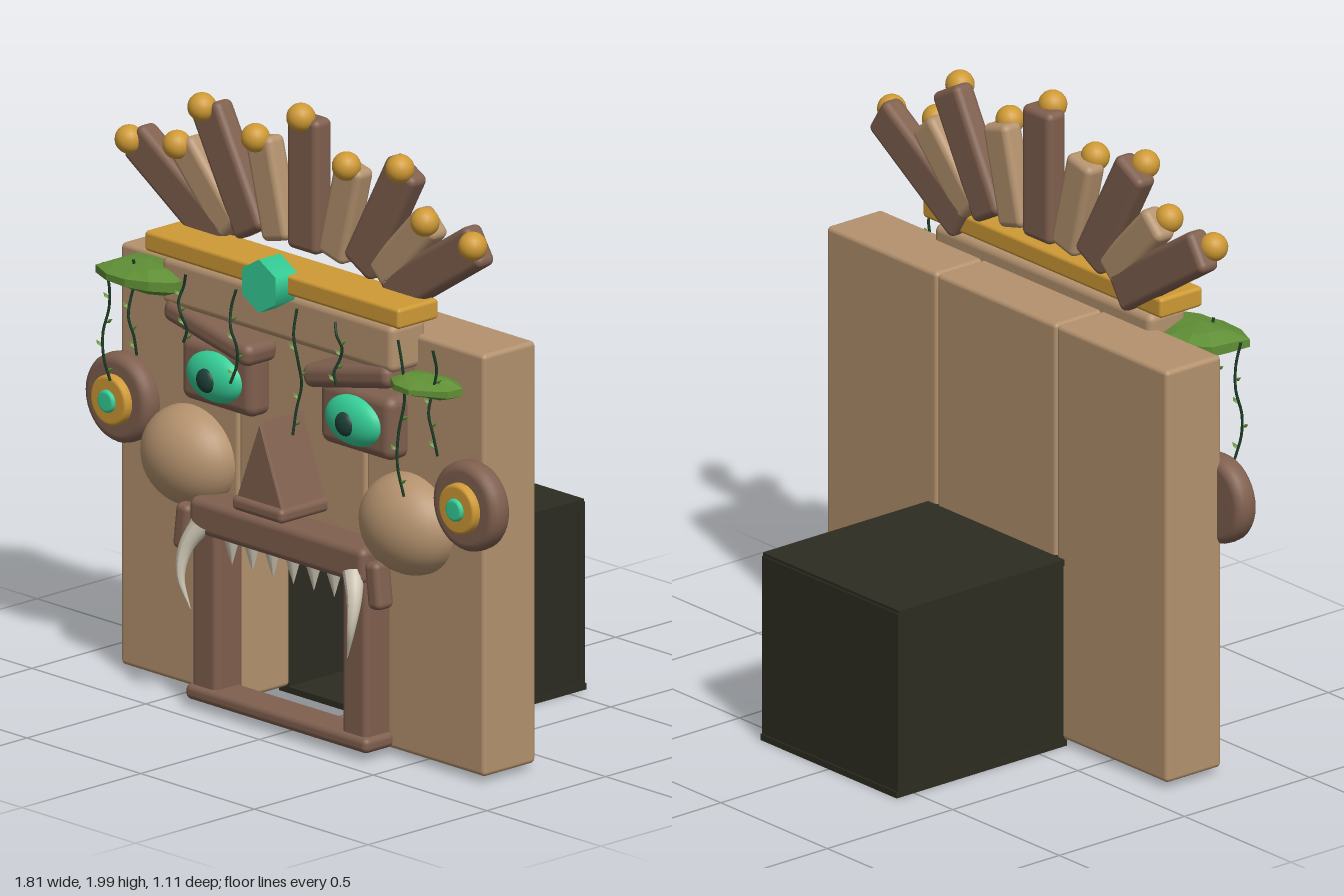
import * as THREE from 'three';
import { RoundedBoxGeometry } from 'three/addons/geometries/RoundedBoxGeometry.js';

const mat = (name, color, extra = {}) => {
  const m = new THREE.MeshStandardMaterial({ color, ...extra });
  m.name = name;
  return m;
};

export function createModel() {
  const root = new THREE.Group();
  root.name = 'maskGateway';
  const M = {
    stone: mat('tanStone', 0xb4926e),
    wood: mat('darkWood', 0x80604f),
    gold: mat('gold', 0xcf9a35),
    jade: mat('jade', 0x35cf98),
    pupil: mat('pupil', 0x1d4038),
    dark: mat('tunnelDark', 0x2c2c22),
    moss: mat('moss', 0x608f36, { flatShading: true, side: THREE.DoubleSide }),
    vine: mat('vine', 0x1c3c26),
    bone: mat('bone', 0xd2cab8),
  };

  const add = (name, geo, material, x = 0, y = 0, z = 0, rz = 0, parent = root) => {
    const mesh = new THREE.Mesh(geo, material);
    mesh.name = name;
    mesh.position.set(x, y, z);
    mesh.rotation.z = rz;
    parent.add(mesh);
    return mesh;
  };
  // Rounded block given by its limits on each axis
  const block = (name, material, [x0, x1], [y0, y1], [z0, z1], r = 0.015) =>
    add(name, new RoundedBoxGeometry(x1 - x0, y1 - y0, z1 - z0, 3, r), material,
      (x0 + x1) / 2, (y0 + y1) / 2, (z0 + z1) / 2);
  const plainBox = (name, material, [x0, x1], [y0, y1], [z0, z1]) =>
    add(name, new THREE.BoxGeometry(x1 - x0, y1 - y0, z1 - z0), material,
      (x0 + x1) / 2, (y0 + y1) / 2, (z0 + z1) / 2);
  const ellipsoid = (rx, ry, rz) => new THREE.SphereGeometry(1, 32, 20).scale(rx, ry, rz);
  // Rounded disc facing forward, built as a lathe
  const disc = (r, depth, b) => {
    const pts = [new THREE.Vector2(0, -depth / 2)];
    for (let i = 0; i <= 8; i++) {
      const a = -Math.PI / 2 + (i / 8) * Math.PI;
      pts.push(new THREE.Vector2(r - b + b * Math.cos(a), Math.sign(Math.sin(a)) * (depth / 2 - b) + b * Math.sin(a)));
    }
    pts.push(new THREE.Vector2(0, depth / 2));
    return new THREE.LatheGeometry(pts, 36).rotateX(Math.PI / 2);
  };

  // Wall slabs around the doorway
  block('wallLeft', M.stone, [0.28, 0.8], [0.03, 1.375], [0.1, 0.32]);
  block('wallRight', M.stone, [-0.8, -0.28], [0.03, 1.375], [0.1, 0.32]);
  block('wallCentre', M.stone, [-0.28, 0.28], [0.6, 1.375], [0.1, 0.32]);

  // Tunnel behind the doorway
  plainBox('tunnelFloor', M.dark, [-0.32, 0.32], [0.01, 0.03], [-0.57, 0.11]);
  plainBox('tunnelCeiling', M.dark, [-0.32, 0.32], [0.6, 0.62], [-0.56, 0.11]);
  plainBox('tunnelBack', M.dark, [-0.319, 0.319], [0.02, 0.61], [-0.565, -0.54]);
  for (const s of [-1, 1])
    plainBox('tunnelSide', M.dark, s < 0 ? [-0.316, -0.28] : [0.28, 0.316], [0.025, 0.605], [-0.56, 0.108]);

  // Mouth frame
  block('mouthLintel', M.wood, [-0.385, 0.385], [0.57, 0.685], [0.3, 0.435], 0.025);
  block('mouthSill', M.wood, [-0.4, 0.4], [0.035, 0.085], [0.31, 0.435], 0.02);
  for (const s of [-1, 1])
    block('mouthJamb', M.wood, s < 0 ? [-0.385, -0.275] : [0.275, 0.385], [0.06, 0.6], [0.3, 0.42], 0.02);
  for (let i = 0; i < 6; i++) {
    const x = -0.225 + i * 0.09;
    add('tooth', new THREE.ConeGeometry(0.025, 0.085, 10).rotateX(Math.PI), M.bone, x, 0.535, 0.4);
  }

  // Headband with hexagonal gem
  block('browBand', M.stone, [-0.51, 0.51], [1.27, 1.425], [0.28, 0.43], 0.025);
  block('goldBand', M.gold, [-0.56, 0.56], [1.43, 1.495], [0.28, 0.45], 0.012);
  add('gem', new THREE.CylinderGeometry(0.085, 0.085, 0.09, 6).rotateX(Math.PI / 2), M.jade, 0, 1.455, 0.457);

  // Feather crown: [bottom x, bottom y, tip x, tip y]
  const feathers = [
    [0, 1.525, 0, 1.955], [0.12, 1.53, 0.2, 1.845], [0.235, 1.525, 0.435, 1.89],
    [0.325, 1.515, 0.545, 1.745], [0.365, 1.465, 0.755, 1.715],
  ];
  feathers.forEach(([x0, y0, x1, y1], i) => {
    for (const s of i ? [-1, 1] : [1]) {
      const len = Math.hypot(x1 - x0, y1 - y0);
      const tilt = -s * Math.atan2(x1 - x0, y1 - y0);
      add('crownFeather', new RoundedBoxGeometry(i % 2 ? 0.115 : 0.135, len, 0.075, 3, 0.022),
        i % 2 ? M.stone : M.wood, s * (x0 + x1) / 2, (y0 + y1) / 2, 0.29, tilt);
      add('featherBead', new THREE.SphereGeometry(0.045, 20, 14), M.gold, s * x1, y1, 0.325);
    }
  });

  // Nose: triangular prism with a nostril bar
  const tri = new THREE.Shape([[-0.1, 0.75], [0.1, 0.75], [0, 1.01]].map((p) => new THREE.Vector2(...p)));
  add('nose', new THREE.ExtrudeGeometry(tri, {
    depth: 0.18, bevelEnabled: true, bevelThickness: 0.008, bevelSize: 0.006, bevelSegments: 2,
  }), M.wood, 0, 0, 0.312);
  block('noseBase', M.wood, [-0.112, 0.112], [0.72, 0.767], [0.3, 0.515], 0.018);

  // Paired face parts
  for (const s of [-1, 1]) {
    const side = new THREE.Group();
    side.name = s > 0 ? 'leftFace' : 'rightFace';
    root.add(side);
    const put = (name, geo, material, x, y, z, rz = 0) => add(name, geo, material, s * x, y, z, s * rz, side);

    put('eyeSocket', new RoundedBoxGeometry(0.32, 0.205, 0.1, 3, 0.035), M.wood, 0.305, 1.072, 0.345);
    put('eye', ellipsoid(0.12, 0.08, 0.05), M.jade, 0.305, 1.073, 0.39);
    put('pupil', ellipsoid(0.038, 0.038, 0.02), M.pupil, 0.305, 1.07, 0.433);
    put('eyebrow', new RoundedBoxGeometry(0.39, 0.075, 0.14, 3, 0.03), M.wood, 0.306, 1.22, 0.37, 0.21);
    put('cheek', ellipsoid(0.185, 0.16, 0.135), M.stone, 0.48, 0.77, 0.32);

    // Ear ornament
    put('earDisc', disc(0.142, 0.08, 0.03), M.wood, 0.765, 0.895, 0.34);
    put('earRing', disc(0.08, 0.06, 0.012), M.gold, 0.765, 0.895, 0.377);
    put('earStud', disc(0.036, 0.04, 0.01), M.jade, 0.765, 0.895, 0.4);

    // Hanging peg below the cheek
    put('cheekPeg', new RoundedBoxGeometry(0.058, 0.15, 0.07, 3, 0.02), M.wood, 0.422, 0.577, 0.4, 0.12);

    // Tusk: tube narrowed towards its tip
    const curve = new THREE.CatmullRomCurve3([
      [0.335, 0.605, 0.425], [0.37, 0.53, 0.455], [0.375, 0.44, 0.473], [0.345, 0.34, 0.46],
    ].map(([x, y, z]) => new THREE.Vector3(s * x, y, z)));
    const segs = 16, around = 12;
    const tusk = new THREE.TubeGeometry(curve, segs, 0.034, around);
    const pos = tusk.attributes.position, v = new THREE.Vector3();
    for (let i = 0; i <= segs; i++) {
      const c = curve.getPointAt(i / segs);
      for (let j = 0; j <= around; j++) {
        const k = i * (around + 1) + j;
        v.fromBufferAttribute(pos, k).sub(c).multiplyScalar(1 - 0.96 * (i / segs)).add(c);
        pos.setXYZ(k, v.x, v.y, v.z);
      }
    }
    tusk.computeVertexNormals();
    add('tusk', tusk, M.bone, 0, 0, 0, 0, side);
  }

  // Moss clumps: faceted lumps with wavy outlines
  const moss = (x, y, z, rx, ry, rz, phase) => {
    const g = new THREE.SphereGeometry(1, 11, 5);
    const p = g.attributes.position;
    for (let i = 0; i < p.count; i++) {
      const a = Math.atan2(p.getZ(i), p.getX(i));
      const k = 1 + 0.09 * Math.sin(3 * a + phase) + 0.05 * Math.cos(5 * a);
      const lift = 1 + 0.2 * Math.sin(2 * a + phase);
      p.setXYZ(i, p.getX(i) * k * rx, p.getY(i) * lift * ry, p.getZ(i) * k * rz);
    }
    g.computeVertexNormals();
    add('mossClump', g, M.moss, x, y, z);
  };
  moss(-0.575, 1.347, 0.425, 0.165, 0.043, 0.125, 0.8);
  moss(0.635, 1.263, 0.405, 0.13, 0.032, 0.095, 2.1);

  // Hanging vines with small leaves: [x, top, bottom, z]
  const vines = [
    [-0.725, 1.36, 0.98, 0.45], [-0.6, 1.4, 1.09, 0.46], [-0.38, 1.4, 1.18, 0.46], [-0.155, 1.4, 1.1, 0.46],
    [0.125, 1.4, 1.0, 0.46], [0.305, 1.4, 1.2, 0.46], [0.56, 1.4, 0.9, 0.44], [0.7, 1.4, 1.06, 0.44],
  ];
  vines.forEach(([x, top, bottom, z], n) => {
    const pts = [];
    for (let i = 0; i <= 5; i++)
      pts.push(new THREE.Vector3(x + 0.011 * Math.sin(i * 1.5 + n), top + (bottom - top) * i / 5, z + 0.01 * Math.cos(i * 1.7 + n)));
    const path = new THREE.CatmullRomCurve3(pts);
    add('vine', new THREE.TubeGeometry(path, 20, 0.0045, 6), M.vine);
    for (let i = 0; i < 4; i++) {
      const p = path.getPoint(0.3 + i * 0.2), d = (i + n) % 2 ? 1 : -1;
      add('vineLeaf', new THREE.OctahedronGeometry(1).scale(0.016, 0.006, 0.009), M.moss,
        p.x + d * 0.015, p.y, p.z, d * 0.6);
    }
  });

  return root;
}
